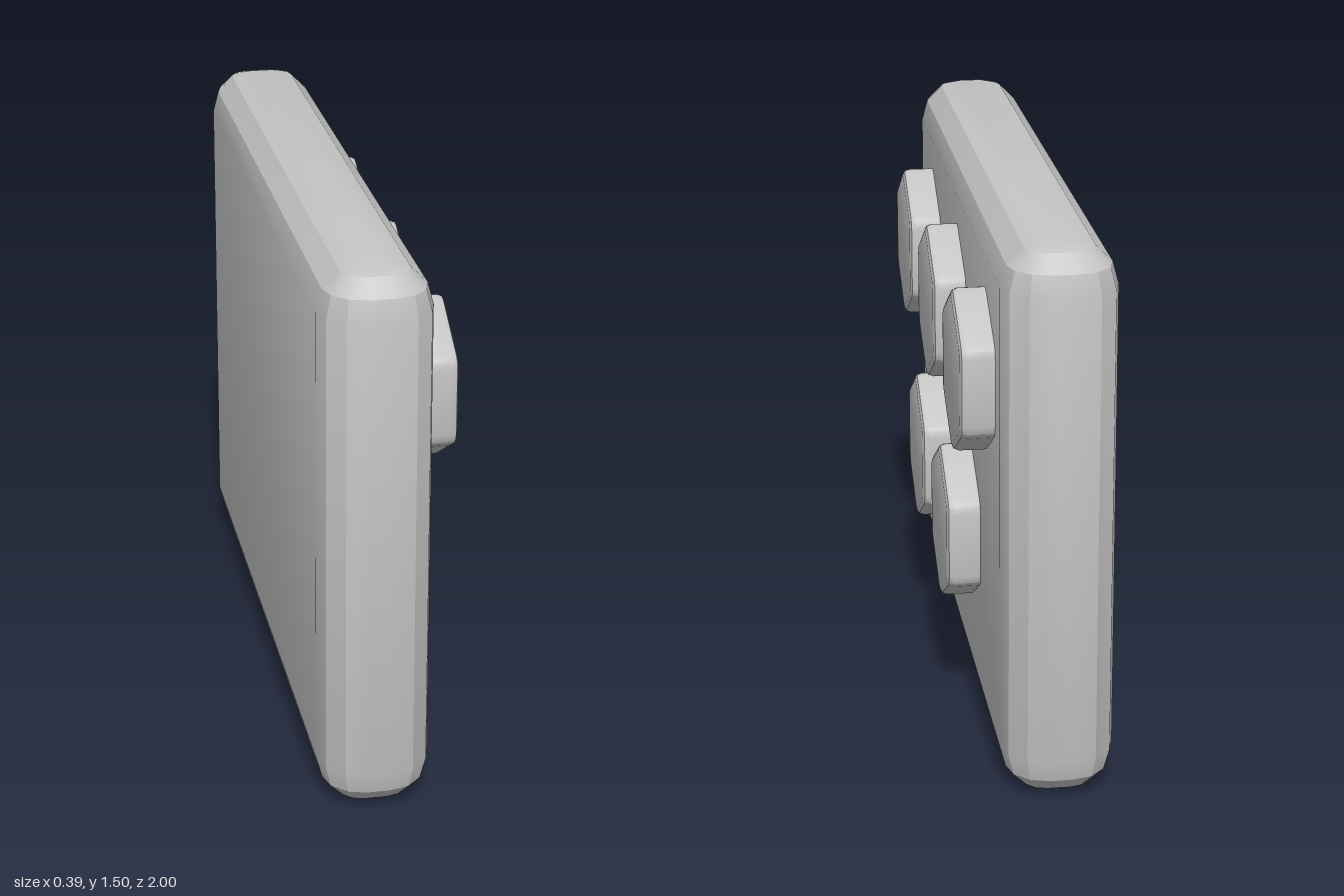
import * as THREE from 'three';
import { ConvexGeometry } from 'three/addons/geometries/ConvexGeometry.js';
import { toCreasedNormals } from 'three/addons/utils/BufferGeometryUtils.js';

// Box with rounded edges made of three facets each
function roundedSlab(w, h, d, r) {
  const points = [];
  for (const sx of [-1, 1]) for (const sy of [-1, 1]) for (const sz of [-1, 1]) {
    for (let i = 0; i <= 3; i++) {
      const lat = (i * Math.PI) / 6;
      for (let j = 0; j <= (i === 3 ? 0 : 3); j++) {
        const lon = (j * Math.PI) / 6;
        points.push(new THREE.Vector3(
          sx * (w / 2 - r + r * Math.cos(lat) * Math.cos(lon)),
          sy * (h / 2 - r + r * Math.sin(lat)),
          sz * (d / 2 - r + r * Math.cos(lat) * Math.sin(lon))
        ));
      }
    }
  }
  return toCreasedNormals(new ConvexGeometry(points), 0.5);
}

// Pointy-topped hexagon with softened corners, extruded along +x
function hexStud(apothem, length, bevel) {
  const R = apothem / Math.cos(Math.PI / 6);
  const corner = (i) => new THREE.Vector2(Math.sin((i * Math.PI) / 3), Math.cos((i * Math.PI) / 3)).multiplyScalar(R);
  const soft = 0.025 / R;
  const shape = new THREE.Shape();
  for (let i = 0; i < 6; i++) {
    const c = corner(i);
    const a = c.clone().lerp(corner(i + 1), soft); // going counter-clockwise
    const b = c.clone().lerp(corner(i - 1), soft);
    if (i === 0) shape.moveTo(b.x, b.y);
    else shape.lineTo(b.x, b.y);
    shape.quadraticCurveTo(c.x, c.y, a.x, a.y);
  }
  shape.closePath();
  const geo = new THREE.ExtrudeGeometry(shape, {
    depth: length - 2 * bevel, bevelThickness: bevel, bevelSize: bevel,
    bevelOffset: -bevel, bevelSegments: 2, curveSegments: 2,
  });
  geo.translate(0, 0, bevel).rotateY(Math.PI / 2);
  return toCreasedNormals(geo, 0.6);
}

export function createModel() {
  const group = new THREE.Group();
  const grey = new THREE.MeshStandardMaterial({ color: 0xc4c4c4 });
  grey.name = 'grey';

  // Upright slab
  const slab = new THREE.Mesh(roundedSlab(0.3, 1.5, 2, 0.12), grey);
  slab.name = 'slab';
  slab.position.set(-0.045, 0.75, 0);
  group.add(slab);

  // Hexagonal studs in two staggered rows, sunk slightly into the slab
  const studGeometry = hexStud(0.199, 0.115, 0.018);
  const rows = [
    { y: 1.075, zs: [-0.6, 0, 0.6] },
    { y: 0.533, zs: [-0.3, 0.3] },
  ];
  for (const { y, zs } of rows) for (const z of zs) {
    const stud = new THREE.Mesh(studGeometry, grey);
    stud.name = 'hexStud';
    stud.position.set(0.08, y, z);
    group.add(stud);
  }
  return group;
}
